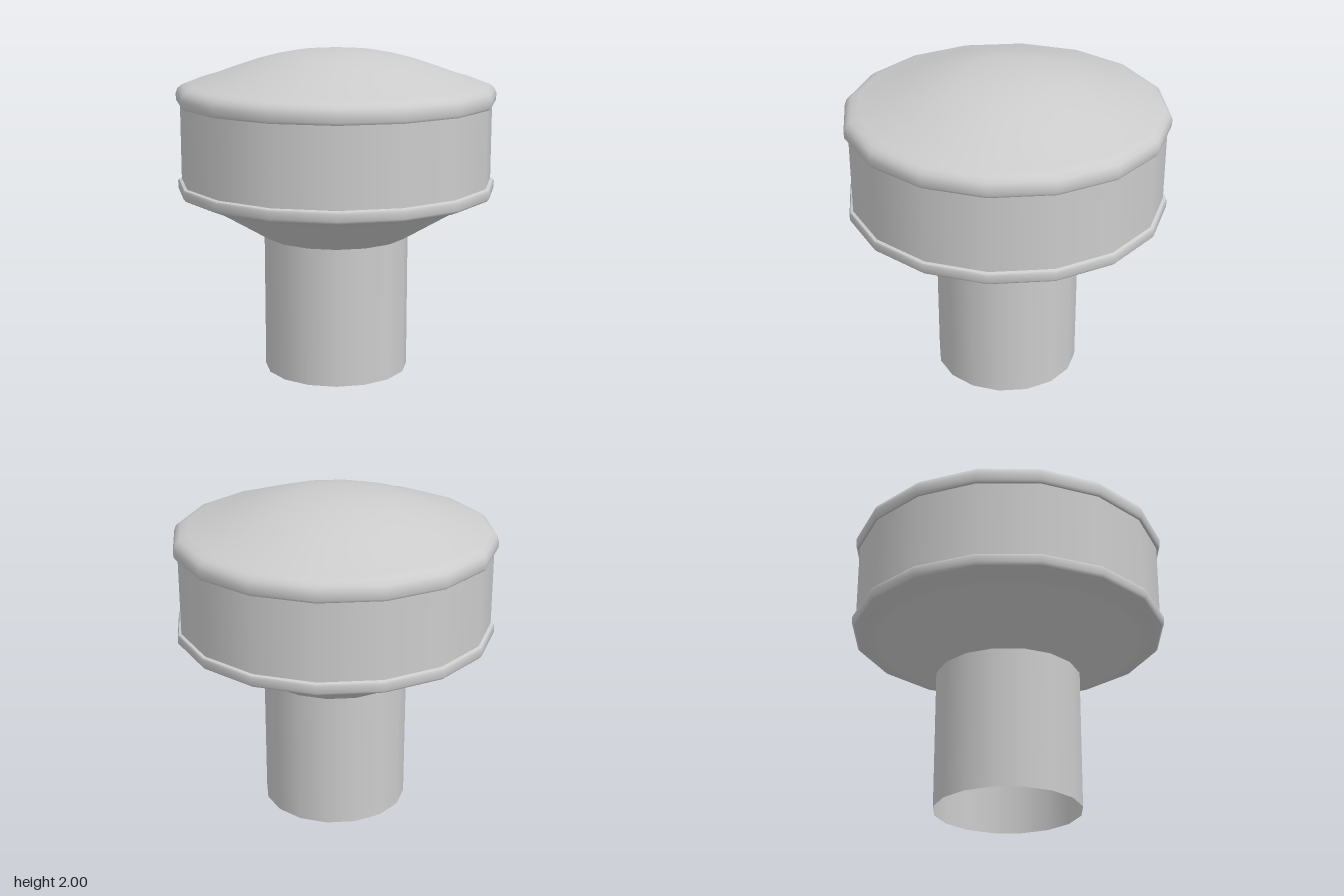
import * as THREE from 'three';

const SIDES = 16;

export function createModel() {
  const group = new THREE.Group();
  group.name = 'mushroomKnob';

  const grey = new THREE.MeshStandardMaterial({ color: 0xcccccc, side: THREE.DoubleSide });
  grey.name = 'light grey';

  // Revolves a bottom-to-top [radius, height] profile; each part is smooth, with sharp seams between parts
  const turn = (name, profile) => {
    const points = profile.map(([r, y]) => new THREE.Vector2(r, y));
    const mesh = new THREE.Mesh(new THREE.LatheGeometry(points, SIDES), grey);
    mesh.name = name;
    group.add(mesh);
  };

  // Hollow stem, open at the bottom
  turn('stem', [[0.447, 0], [0.447, 0.855]]);

  // Flared underside, curling out to the lower rim
  turn('flare', [[0.447, 0.855], [0.82, 1.08], [0.87, 1.103], [0.92, 1.112], [0.965, 1.13]]);

  // Lower rim band with a small bevel and ledge
  turn('lowerRim', [[0.965, 1.13], [0.978, 1.145], [0.978, 1.185], [0.972, 1.197]]);
  turn('lowerLedge', [[0.972, 1.197], [0.955, 1.203]]);

  // Straight side wall
  turn('wall', [[0.955, 1.203], [0.955, 1.675]]);

  // Underside of the cap lip
  turn('capLip', [[0.955, 1.675], [0.968, 1.675]]);

  // Rounded cap edge running into the shallow dome
  turn('cap', [
    [0.968, 1.675], [0.978, 1.69], [0.98, 1.73], [0.968, 1.762], [0.94, 1.785],
    [0.89, 1.802], [0.82, 1.822], [0.68, 1.872], [0.52, 1.925],
    [0.38, 1.962], [0.26, 1.985], [0.12, 1.998], [0, 2],
  ]);

  return group;
}
